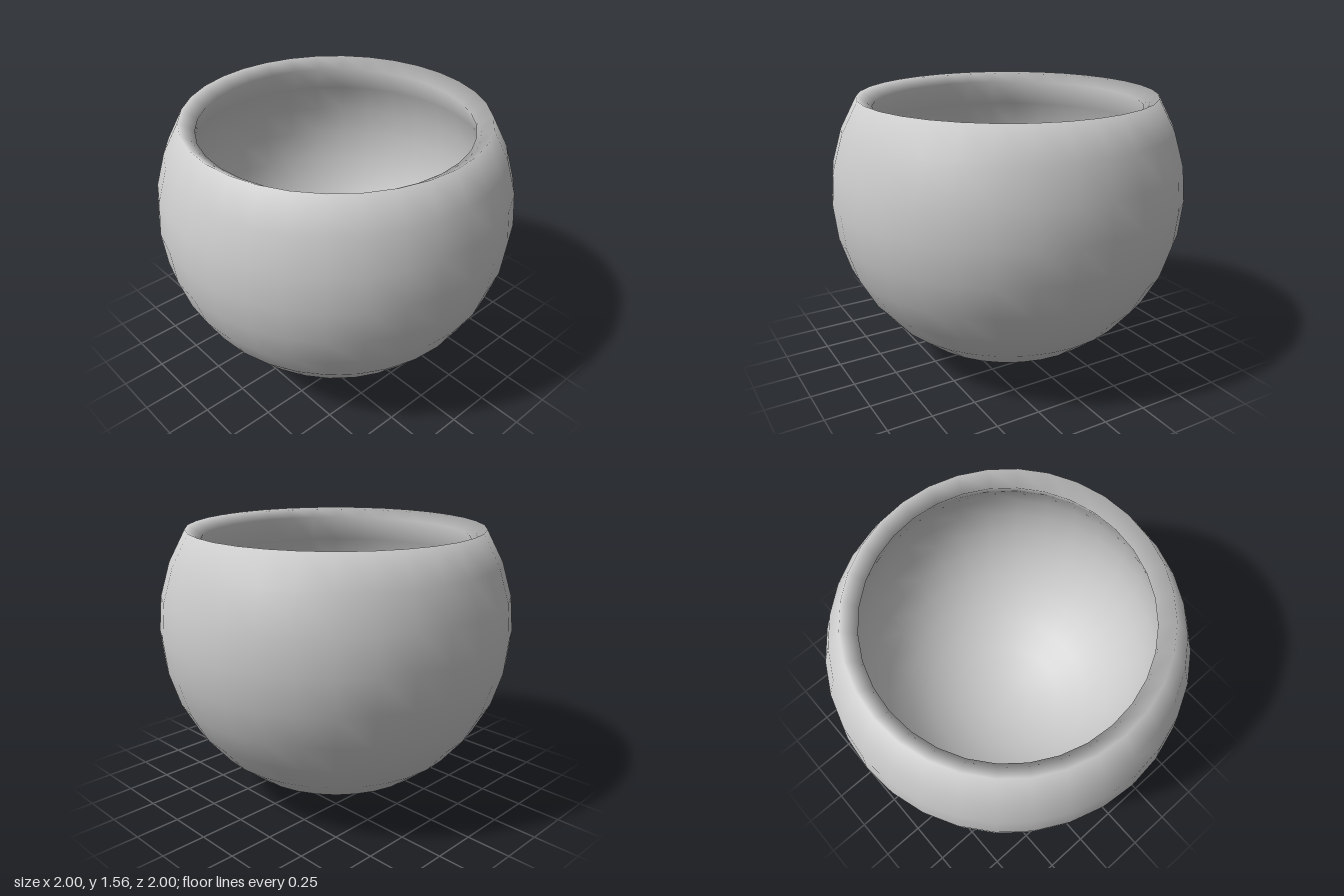
import * as THREE from 'three';

const SEGMENTS = 32;     // sides around the bowl
const STEP = Math.PI / 16; // angle between rings
const RINGS = 11;        // rings from the bottom pole up to the rim
const OUTER = 1;
const INNER = 0.9;

// Point on a spherical profile, counted in rings from the bottom pole
const profilePoint = (radius, ring) => new THREE.Vector2(
  radius * Math.sin(ring * STEP),
  1 - radius * Math.cos(ring * STEP)
);

export function createModel() {
  const group = new THREE.Group();
  group.name = 'roundBowl';

  // Up the outer wall, across the sloping rim, down the inner wall
  const profile = [];
  for (let i = 0; i <= RINGS; i++) profile.push(profilePoint(OUTER, i));
  for (let i = RINGS; i >= 0; i--) profile.push(profilePoint(INNER, i));
  const geometry = new THREE.LatheGeometry(profile, SEGMENTS);

  // Smooth the two poles: straight down outside, straight up inside
  for (let s = 0; s <= SEGMENTS; s++) {
    const first = s * profile.length;
    geometry.attributes.normal.setXYZ(first, 0, -1, 0);
    geometry.attributes.normal.setXYZ(first + profile.length - 1, 0, 1, 0);
  }

  const bowl = new THREE.Mesh(geometry, new THREE.MeshStandardMaterial({ color: 0xcccccc }));
  bowl.name = 'bowl';
  group.add(bowl);

  return group;
}
